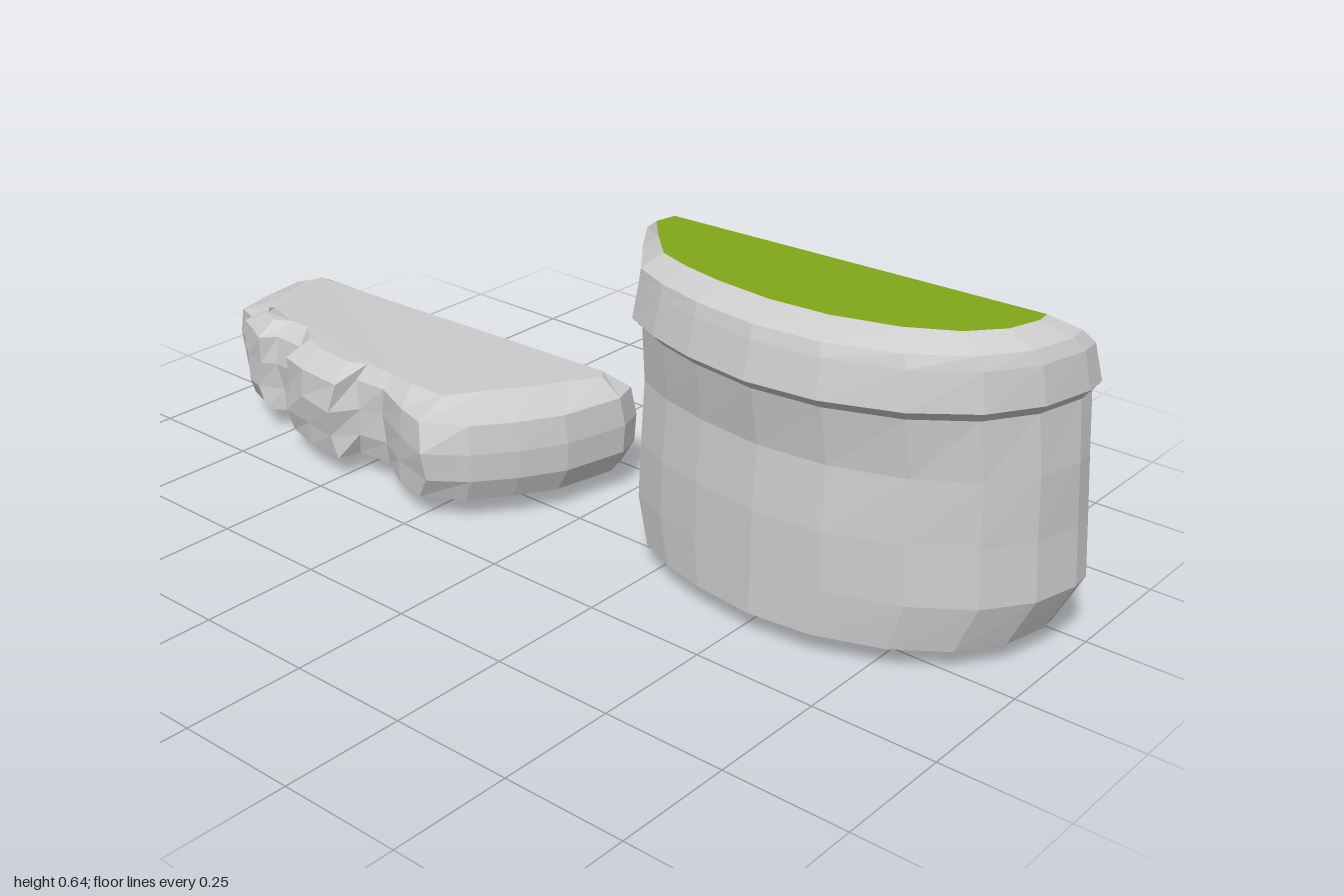
import * as THREE from 'three';

const grey = new THREE.MeshStandardMaterial({ color: 0xcccccc, flatShading: true });
const green = new THREE.MeshStandardMaterial({ color: 0x82a81a, flatShading: true });

function mesh(name, points, material) {
  const geo = new THREE.BufferGeometry().setFromPoints(points.map((p) => new THREE.Vector3(...p)));
  geo.computeVertexNormals();
  const m = new THREE.Mesh(geo, material);
  m.name = name;
  return m;
}

// Triangles closing a ring, facing up or down
function cap(ring, up) {
  const flat = ring.map(([x, , z]) => new THREE.Vector2(x, -z));
  return THREE.ShapeUtils.triangulateShape(flat, []).flatMap(([a, b, c]) =>
    (up ? [a, b, c] : [a, c, b]).map((i) => ring[i]));
}

// Triangles joining rings from bottom to top
function walls(rings) {
  const out = [];
  for (let r = 0; r + 1 < rings.length; r++) {
    const lo = rings[r], hi = rings[r + 1], n = lo.length;
    for (let i = 0; i < n; i++) {
      const j = (i + 1) % n;
      out.push(lo[i], lo[j], hi[j], lo[i], hi[j], hi[i]);
    }
  }
  return out;
}

// Half-round block: unit outline (across, back to front) fitted to each level
function createBlock() {
  const outline = [[0.01, 0], [0, 0.2], [0.07, 0.48], [0.15, 0.76], [0.24, 0.87], [0.35, 0.95], [0.5, 1],
    [0.65, 0.96], [0.8, 0.82], [0.91, 0.62], [0.975, 0.38], [1, 0.12], [0.995, 0]];
  // y, left x, right x, back z, front z
  const levels = [
    [0.05, 0.10, 0.955, -0.21, 0.14], [0.145, 0.06, 1.0, -0.23, 0.14],
    [0.26, 0.066, 0.99, -0.232, 0.14], [0.385, 0.07, 0.985, -0.222, 0.13],
    [0.5, 0.078, 0.972, -0.23, 0.152], [0.523, 0.066, 0.99, -0.226, 0.178],
    [0.595, 0.078, 0.978, -0.212, 0.163], [0.62, 0.085, 0.962, -0.192, 0.155],
    [0.645, 0.12, 0.91, -0.158, 0.095],
  ];
  const rings = levels.map(([y, x0, x1, zb, zf]) => outline.map(([u, w]) =>
    [x0 + u * (x1 - x0), y, zb + w * (zf - zb) + 0.03 * (1 - u) * (1 - w)]));
  const g = new THREE.Group();
  g.name = 'halfRoundBlock';
  g.add(mesh('blockBody', [...cap(rings[0], false), ...walls(rings)], grey));
  g.add(mesh('greenTop', cap(rings.at(-1), true), green));
  return g;
}

// Fallen slab with a ragged front edge and a slanting underside
function createSlab() {
  const outer = [[-0.955, -0.2], [-1, -0.14], [-0.985, -0.03], [-0.965, 0.06], [-0.92, 0.085], [-0.9, 0.11],
    [-0.86, 0.13], [-0.81, 0.15], [-0.77, 0.125], [-0.71, 0.13], [-0.675, 0.185], [-0.6, 0.205],
    [-0.5, 0.22], [-0.47, 0.17], [-0.4, 0.16], [-0.31, 0.205], [-0.22, 0.232], [-0.14, 0.17],
    [-0.08, 0.09], [-0.03, 0], [0, -0.14], [-0.02, -0.2]];
  const inner = [[-0.94, -0.163], [-0.95, -0.13], [-0.93, -0.06], [-0.91, 0], [-0.88, 0.03], [-0.86, 0.06],
    [-0.84, 0.08], [-0.8, 0.1], [-0.76, 0.08], [-0.71, 0.08], [-0.66, 0.12], [-0.6, 0.14],
    [-0.51, 0.15], [-0.47, 0.13], [-0.4, 0.13], [-0.33, 0.14], [-0.24, 0.14], [-0.19, 0.06],
    [-0.14, -0.01], [-0.1, -0.08], [-0.06, -0.14], [-0.08, -0.163]];
  const dip = (x, z) => 0.05 * -x * THREE.MathUtils.clamp((0.07 - z) / 0.22, 0, 1);
  // y, width about the centre, depth
  const levels = [[0.05, 0.94, 0.94], [0.1, 0.995, 0.985], [0.16, 1, 1], [0.22, 0.98, 0.965]];
  const rings = levels.map(([y, sx, sz], r) => outer.map(([x, z], i) => {
    const ripple = i > 2 && i < 17 ? 0.009 * Math.sin(i * 2.3 + r * 1.9) : 0;
    return [-0.5 + (x + 0.5) * sx + ripple, y - dip(x, z) * (1 - r / 3), z * sz - Math.abs(ripple)];
  }));
  rings.push(inner.map(([x, z]) => [x, x < -0.86 ? 0.235 : 0.25, z]));
  return mesh('raggedSlab', [...cap(rings[0], false), ...walls(rings), ...cap(rings.at(-1), true)], grey);
}

export function createModel() {
  const model = new THREE.Group();
  model.name = 'splitBlocks';
  model.add(createBlock(), createSlab());
  return model;
}
